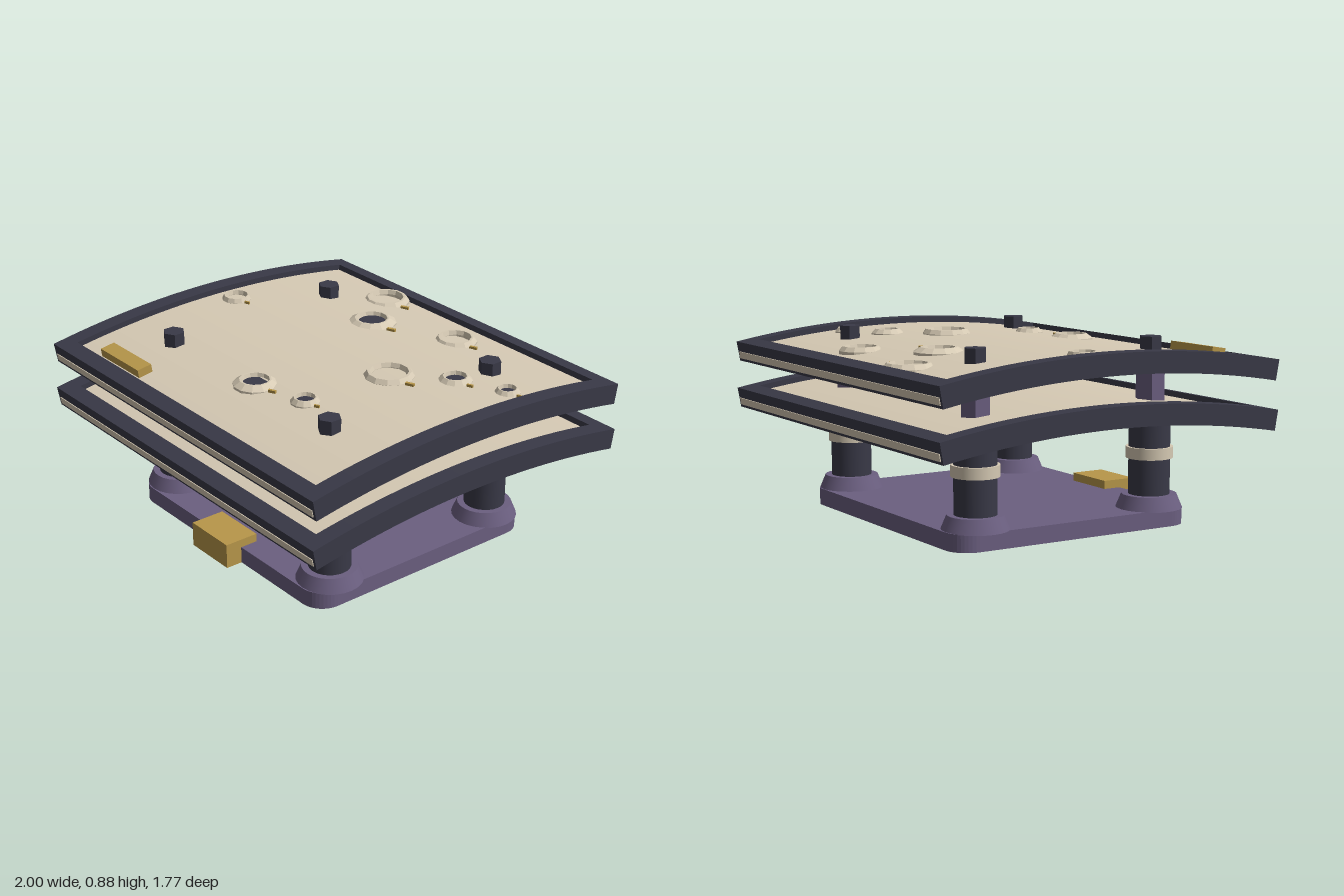
import * as THREE from 'three';

const mat = (name, color) => {
  const m = new THREE.MeshStandardMaterial({ color });
  m.name = name;
  return m;
};

const R = 4.9;                       // bend radius of both decks
const END = Math.asin(0.887 / R);    // half angle of a deck
const RIM = Math.asin(0.805 / R);    // half angle of the inset panel

// Curved bar: an arc band between angles a0..a1 and depths d0..d1 below the deck crown
function arcBar(a0, a1, d0, d1, width) {
  const s = new THREE.Shape();
  const n = Math.max(1, Math.round((a1 - a0) / 0.015));
  for (let i = 0; i <= n; i++) {
    const a = a0 + (a1 - a0) * i / n, r = R - d1;
    s[i ? 'lineTo' : 'moveTo'](r * Math.sin(a), r * Math.cos(a) - R);
  }
  for (let i = n; i >= 0; i--) {
    const a = a0 + (a1 - a0) * i / n, r = R - d0;
    s.lineTo(r * Math.sin(a), r * Math.cos(a) - R);
  }
  const g = new THREE.ExtrudeGeometry(s, { depth: width, bevelEnabled: false });
  g.translate(0, 0, -width / 2);
  g.rotateY(-Math.PI / 2);
  return g;
}

export function createModel() {
  const root = new THREE.Group();
  root.name = 'layeredTable';
  const cream = mat('cream', 0xd6cab4);
  const dark = mat('charcoal', 0x393947);
  const purple = mat('dusky purple', 0x6b5f80);
  const gold = mat('brass', 0xb8974a);

  const add = (parent, name, geo, material, x = 0, y = 0, z = 0) => {
    const m = new THREE.Mesh(geo, material);
    m.name = name;
    m.position.set(x, y, z);
    parent.add(m);
    return m;
  };

  // Base plate with rounded corners
  const bx = 0.705, bz = 0.628, br = 0.11;
  const s = new THREE.Shape();
  s.absarc(bx - br, bz - br, br, 0, Math.PI / 2);
  s.absarc(-bx + br, bz - br, br, Math.PI / 2, Math.PI);
  s.absarc(-bx + br, -bz + br, br, Math.PI, Math.PI * 1.5);
  s.absarc(bx - br, -bz + br, br, Math.PI * 1.5, Math.PI * 2);
  const base = new THREE.ExtrudeGeometry(s, { depth: 0.08, bevelEnabled: false, curveSegments: 5 });
  base.rotateX(-Math.PI / 2);
  add(root, 'basePlate', base, purple);
  add(root, 'frontBlock', new THREE.BoxGeometry(0.27, 0.12, 0.17), gold, 0, 0.06, 0.625);

  // Decks: dark rim, inset cream panel, cream stripes on front and back edges
  const addDeck = (name, top) => {
    const deck = new THREE.Group();
    deck.name = name;
    deck.position.y = top;
    root.add(deck);
    for (const side of [-1, 1]) {
      add(deck, 'sideRail', arcBar(-END, END, 0, 0.097, 0.085), dark, side * 0.9575);
      const [a, b] = side > 0 ? [RIM, END] : [-END, -RIM];
      add(deck, 'endRail', arcBar(a, b, 0, 0.097, 1.83), dark);
      const e = side * END;
      add(deck, 'edgeStripe', arcBar(e - 0.0008, e + 0.0008, 0.049, 0.083, 1.97), cream);
    }
    add(deck, 'panel', arcBar(-RIM, RIM, 0.027, 0.083, 1.83), cream);
  };
  addDeck('lowerDeck', 0.632);
  addDeck('upperDeck', 0.862);

  // Four columns, each with flared foot, band, spacer and bolt
  for (const x of [-0.588, 0.588]) for (const z of [-0.47, 0.47]) {
    const col = new THREE.Group();
    col.name = 'column';
    col.position.set(x, 0, z);
    root.add(col);
    const cyl = (name, rt, rb, y0, y1, n, m) =>
      add(col, name, new THREE.CylinderGeometry(rt, rb, y1 - y0, n), m, 0, (y0 + y1) / 2);
    cyl('foot', 0.128, 0.155, 0.078, 0.143, 24, purple);
    cyl('shaft', 0.097, 0.097, 0.1, 0.56, 24, dark);
    cyl('band', 0.11, 0.11, 0.312, 0.365, 24, cream);
    const spacer = cyl('spacer', 0.072, 0.072, 0.56, 0.78, 6, purple);
    spacer.geometry = spacer.geometry.toNonIndexed();
    spacer.geometry.computeVertexNormals();
    const bolt = cyl('bolt', 0.053, 0.053, 0.79, 0.875, 6, dark);
    bolt.geometry = bolt.geometry.toNonIndexed();
    bolt.geometry.computeVertexNormals();
  }

  // Raised rings on the upper panel: x, z, outer radius, inner radius, dark centre
  const rings = [
    [-0.41, -0.70, 0.117, 0.078, false], [0.20, -0.615, 0.103, 0.068, false],
    [-0.19, -0.42, 0.12, 0.068, true], [0.575, -0.27, 0.08, 0.047, true],
    [0.805, -0.375, 0.06, 0.036, true], [0.36, -0.06, 0.118, 0.082, false],
    [-0.805, -0.055, 0.073, 0.05, false], [0.015, 0.44, 0.105, 0.06, true],
    [0.31, 0.385, 0.069, 0.042, true],
  ];
  const panelY = z => 0.862 - R + Math.sqrt((R - 0.027) ** 2 - z * z);
  for (const [x, z, ro, ri, hole] of rings) {
    const ring = new THREE.Group();
    ring.name = 'ring';
    ring.position.set(x, panelY(z), z);
    root.add(ring);
    const profile = [[ro, -0.016], [ro, 0.001], [ri * 1.25, 0.022], [ri * 1.1, 0.022], [ri, 0.002], [ri, -0.016]]
      .reverse().map(p => new THREE.Vector2(...p));
    // Faces of the lathe are made flat so the facets read clearly
    let g = new THREE.LatheGeometry(profile.reverse(), 12).toNonIndexed();
    g.computeVertexNormals();
    const rim = add(ring, 'ringRim', g, cream);
    rim.rotation.y = Math.PI / 12;
    if (hole) add(ring, 'ringCentre', new THREE.CylinderGeometry(ri, ri, 0.008, 12), dark, 0, 0, 0);
    const tab = add(ring, 'ringTab', new THREE.BoxGeometry(ro * 0.36, 0.02, ro * 0.13), gold, ro * 1.2, 0.002, 0);
    tab.rotation.y = 0.4;
  }

  // Small plate at the front left corner of the upper deck
  const plate = add(root, 'namePlate', new THREE.BoxGeometry(0.315, 0.04, 0.075), gold, -0.59, 0.8, 0.74);
  plate.rotation.x = 0.15;
  return root;
}
